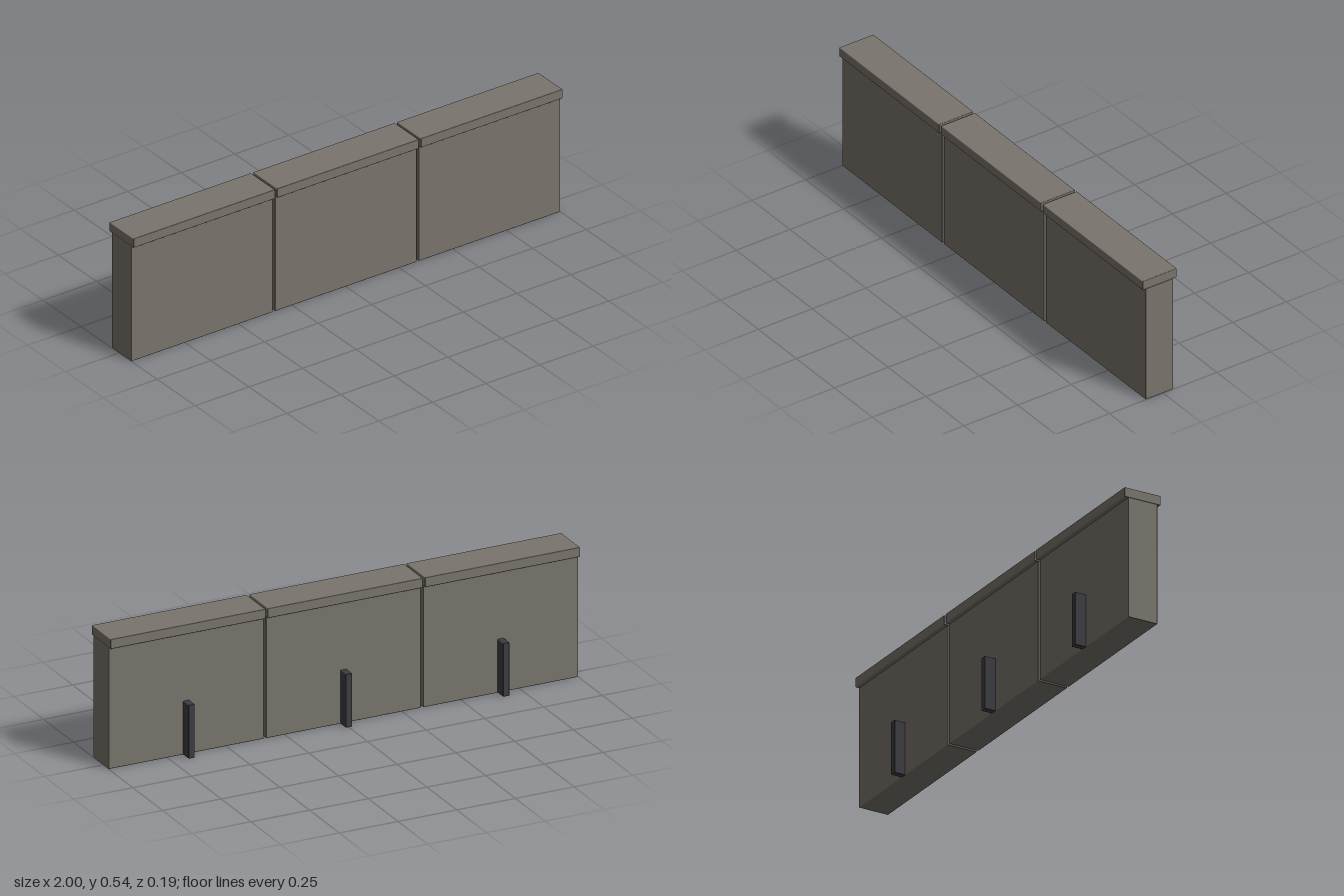
import * as THREE from 'three';
import { RoundedBoxGeometry } from 'three/addons/geometries/RoundedBoxGeometry.js';

const stone = new THREE.MeshStandardMaterial({ color: 0x7a756d });
stone.name = 'warm grey stone';
const iron = new THREE.MeshStandardMaterial({ color: 0x3d3c42 });
iron.name = 'dark iron';

// Softly bevelled block given by its width and its y and z limits
function block(name, width, [y0, y1], [z0, z1], material) {
  const geometry = new RoundedBoxGeometry(width, y1 - y0, z1 - z0, 2, 0.003);
  const mesh = new THREE.Mesh(geometry, material);
  mesh.name = name;
  mesh.position.set(0, (y0 + y1) / 2, (z0 + z1) / 2);
  return mesh;
}

export function createModel() {
  const model = new THREE.Group();
  model.name = 'parapetWall';
  const width = 0.66;
  const pitch = (2 - width) / 2;

  // Three equal sections with narrow joints between them
  for (let i = -1; i <= 1; i++) {
    const section = new THREE.Group();
    section.name = 'wallSection';
    section.position.x = i * pitch;
    section.add(
      block('wallPanel', width, [0, 0.502], [-0.048, 0.081], stone),
      block('copingCap', width, [0.501, 0.541], [-0.064, 0.095], stone),
      block('rearPost', 0.027, [0, 0.221], [-0.095, -0.04], iron),
    );
    model.add(section);
  }
  return model;
}
